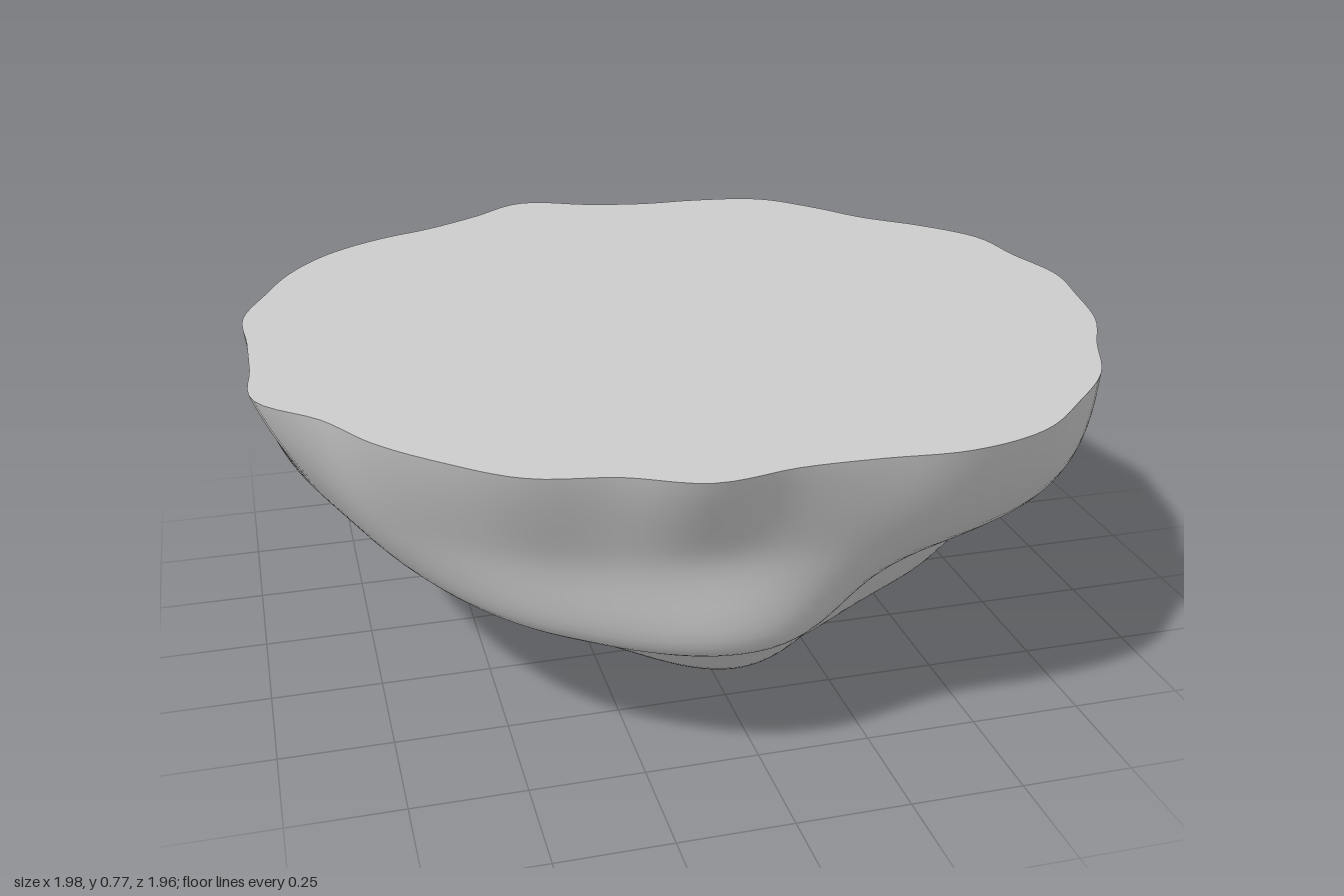
import * as THREE from 'three';
import { mergeVertices } from 'three/addons/utils/BufferGeometryUtils.js';

const TOP = 0.78, AROUND = 180, DOWN = 56;

// Rim radius every 10 degrees, from +x towards +z
const RIM = [0.998, 0.985, 0.99, 0.985, 1.015, 1.025, 1.045, 1.02, 0.965,
  0.95, 0.99, 0.965, 1.0, 0.99, 0.985, 0.975, 1.03, 0.985,
  0.97, 0.988, 0.975, 0.98, 0.975, 0.95, 0.92, 0.94, 1.0,
  0.925, 0.905, 0.945, 0.985, 0.955, 0.93, 0.965, 1.0, 0.98];

// Distance from the middle of the top, every 30 degrees, at the dip angles below
const DIPS = [0, 14, 27, 33, 45, 60, 75, 90];
const BODY = [
  [0.985, 0.92, 0.89, 0.82, 0.795, 0.755],
  [0.99, 0.9, 0.87, 0.86, 0.825, 0.765],
  [0.965, 0.81, 0.78, 0.79, 0.84, 0.785],
  [0.9, 0.945, 0.915, 0.88, 0.82, 0.79],
  [0.92, 0.93, 0.87, 0.825, 0.78, 0.785],
  [0.93, 0.885, 0.845, 0.825, 0.775, 0.76],
  [0.95, 0.87, 0.85, 0.85, 0.8, 0.755],
  [0.94, 0.89, 0.88, 0.86, 0.8, 0.755],
  [0.9, 0.88, 0.88, 0.85, 0.79, 0.76],
  [0.9, 0.89, 0.89, 0.87, 0.785, 0.775],
  [0.93, 0.9, 0.89, 0.85, 0.785, 0.765],
  [0.96, 0.915, 0.885, 0.83, 0.785, 0.75],
];

// Smooth curve through four neighbouring values
function cubic(a, b, c, d, t) {
  return b + 0.5 * t * (c - a + t * (2 * a - 5 * b + 4 * c - d + t * (3 * (b - c) + d - a)));
}

// Value of a closed ring at u in 0..1
function ring(values, u) {
  const n = values.length, k = Math.floor(u * n);
  const at = (i) => values[(i + n) % n];
  return cubic(at(k - 1), at(k), at(k + 1), at(k + 2), u * n - k);
}

// Value of an open list at v in 0..1
function line(values, v) {
  const n = values.length - 1, k = Math.min(Math.floor(v * n), n - 1);
  const at = (i) => values[Math.max(0, Math.min(n, i))];
  return cubic(at(k - 1), at(k), at(k + 1), at(k + 2), v * n - k);
}

function makeGeometry(points, index) {
  const g = new THREE.BufferGeometry();
  g.setAttribute('position', new THREE.Float32BufferAttribute(points, 3));
  g.setIndex(index);
  const merged = mergeVertices(g, 1e-5);
  merged.computeVertexNormals();
  return merged;
}

export function createModel() {
  const group = new THREE.Group();
  const material = new THREE.MeshStandardMaterial({ color: 0xcccccc, roughness: 0.9 });

  // Lumpy underside, swept around from the rim to the lowest point
  const points = [], index = [], row = DOWN + 1;
  const capPoints = [0, TOP, 0], capIndex = [];
  for (let i = 0; i <= AROUND; i++) {
    const u = (i % AROUND) / AROUND, angle = u * Math.PI * 2;
    const radii = [ring(RIM, u)];
    for (let k = 0; k < 6; k++) radii.push(ring(BODY.map((b) => b[k]), u));
    radii.push(0.745);
    for (let j = 0; j <= DOWN; j++) {
      const v = j / DOWN;
      const dip = THREE.MathUtils.degToRad(line(DIPS, v));
      const r = line(radii, v), flat = r * Math.cos(dip);
      points.push(flat * Math.cos(angle), TOP - r * Math.sin(dip), flat * Math.sin(angle));
      if (i < AROUND && j < DOWN) {
        const a = i * row + j, b = a + row;
        index.push(a, b, a + 1);
        if (j < DOWN - 1) index.push(b, b + 1, a + 1);
      }
    }
    // Flat top follows the same rim
    capPoints.push(radii[0] * Math.cos(angle), TOP, radii[0] * Math.sin(angle));
    if (i < AROUND) capIndex.push(0, i + 2, i + 1);
  }

  const underside = new THREE.Mesh(makeGeometry(points, index), material);
  underside.name = 'rockUnderside';
  const top = new THREE.Mesh(makeGeometry(capPoints, capIndex), material);
  top.name = 'flatTop';
  group.add(underside, top);
  return group;
}
